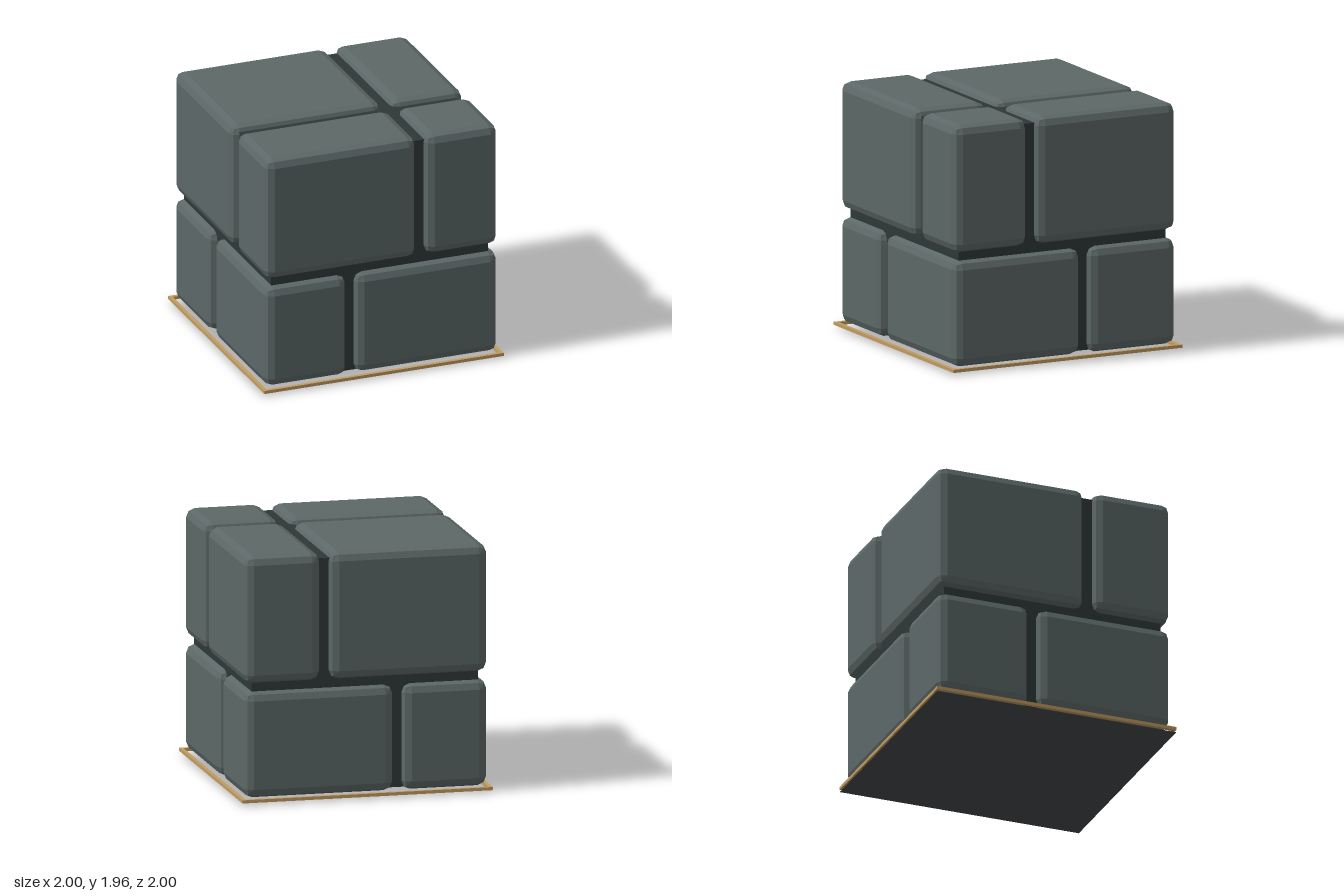
import * as THREE from 'three';
import { RoundedBoxGeometry } from 'three/addons/geometries/RoundedBoxGeometry.js';

const mat = (name, color) => {
  const m = new THREE.MeshStandardMaterial({ color });
  m.name = name;
  return m;
};

export function createModel() {
  const stone = mat('slate stone', 0x5c6867);
  const mortar = mat('dark mortar', 0x2f3837);
  const trim = mat('tan trim', 0xc29c62);
  const underside = mat('underside grey', 0x434849);

  const model = new THREE.Group();
  model.name = 'stoneBlockCube';

  const add = (parent, name, geometry, material, x, y, z) => {
    const mesh = new THREE.Mesh(geometry, material);
    mesh.name = name;
    mesh.position.set(x, y, z);
    parent.add(mesh);
    return mesh;
  };

  // Stone with two-step bevelled edges and faceted normals
  const addStone = (parent, name, [x0, x1], [y0, y1], [z0, z1]) => {
    const geo = new RoundedBoxGeometry(x1 - x0, y1 - y0, z1 - z0, 1, 0.07);
    geo.computeVertexNormals();
    add(parent, name, geo, stone, (x0 + x1) / 2, (y0 + y1) / 2, (z0 + z1) / 2);
  };

  // Two courses of four stones, the joints offset between them
  const courses = [
    { name: 'lowerCourse', y: [0.045, 0.885], xs: [[-0.97, -0.29], [-0.22, 0.97]], zs: [[-0.97, -0.21], [-0.135, 0.97]] },
    { name: 'upperCourse', y: [0.95, 1.96], xs: [[-0.97, 0.29], [0.365, 0.97]], zs: [[-0.97, 0.25], [0.33, 0.97]] },
  ];
  for (const { name, y, xs, zs } of courses) {
    const course = new THREE.Group();
    course.name = name;
    xs.forEach((x, i) => zs.forEach((z, j) =>
      addStone(course, (j ? 'front' : 'back') + (i ? 'Left' : 'Right') + 'Stone', x, y, z)));
    model.add(course);
  }

  // Recessed core seen in the joints
  add(model, 'mortarCore', new THREE.BoxGeometry(1.81, 1.845, 1.81), mortar, 0, 0.9875, 0);

  // Thin border around the foot
  const border = new THREE.Group();
  border.name = 'baseBorder';
  const w = 0.03, h = 0.025, y = 0.0325;
  for (const s of [-1, 1]) {
    add(border, s > 0 ? 'frontBorder' : 'backBorder', new THREE.BoxGeometry(2, h, w), trim, 0, y, s * (1 - w / 2));
    add(border, s > 0 ? 'leftBorder' : 'rightBorder', new THREE.BoxGeometry(w, h, 2 - 2 * w), trim, s * (1 - w / 2), y, 0);
  }
  model.add(border);

  // Ground face, facing down
  add(model, 'underside', new THREE.PlaneGeometry(2, 2).rotateX(Math.PI / 2), underside, 0, 0, 0);

  return model;
}
